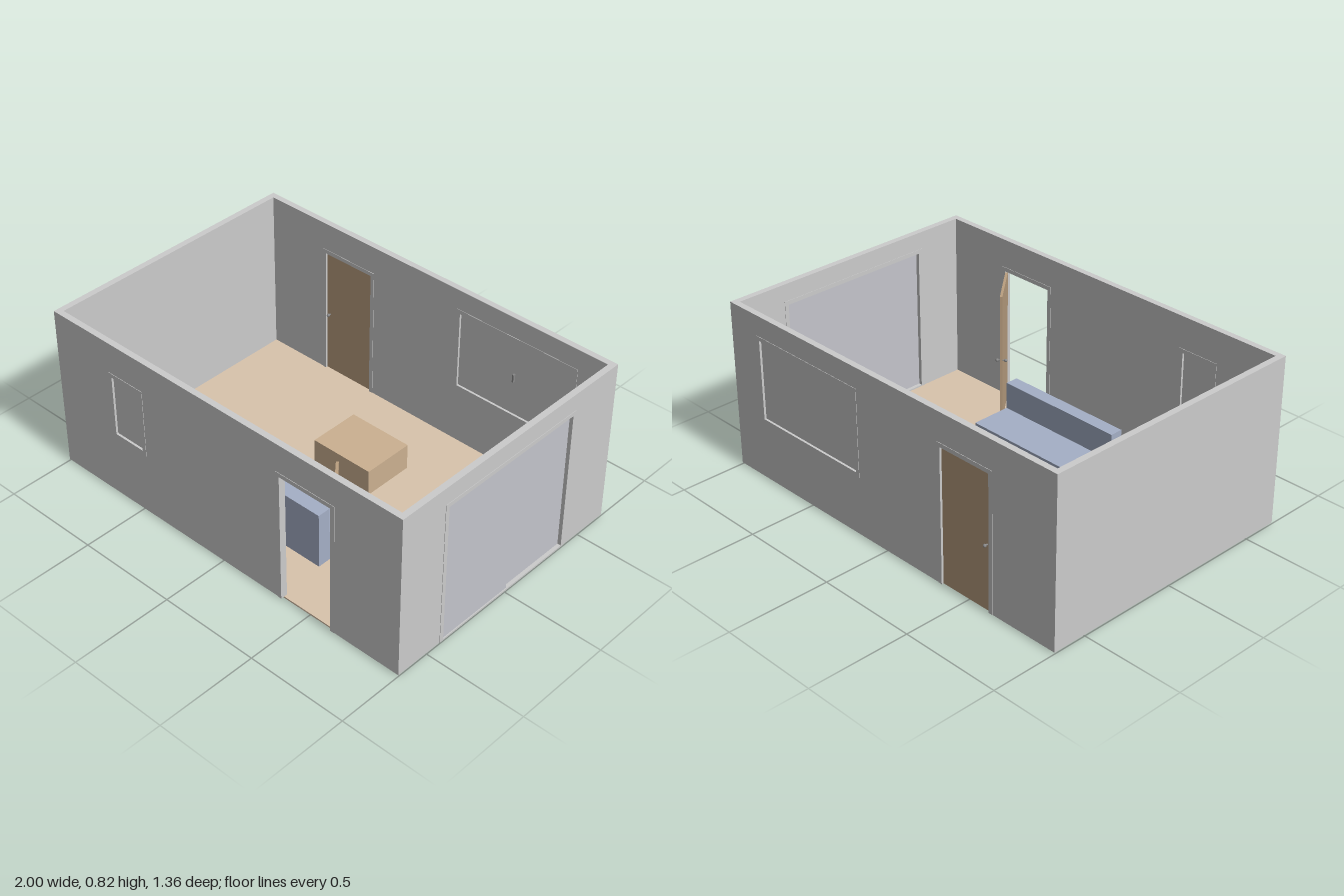
import * as THREE from 'three';

const W = 1, D = 0.672, H = 0.825, T = 0.03, BASE = 0.007;

const material = (color) => new THREE.MeshStandardMaterial({ color });
const grey = material(0xcccccc);
const floorTan = material(0xd9c4ac);
const wood = material(0xba9f80);
const tableWood = material(0xccb191);
const fabric = material(0xa5afc6);
const glass = material(0xc4c5cc);
const metal = material(0x8a8a8a);

function box(name, parent, mat, x0, x1, y0, y1, z0, z1) {
  const mesh = new THREE.Mesh(new THREE.BoxGeometry(x1 - x0, y1 - y0, z1 - z0), mat);
  mesh.position.set((x0 + x1) / 2, (y0 + y1) / 2, (z0 + z1) / 2);
  mesh.name = name;
  parent.add(mesh);
  return mesh;
}

// Upright slab with openings; openings that reach the base become notches
function slab(name, parent, x0, x1, y0, y1, openings, z0, z1) {
  const pts = [[x0, y0]];
  for (const o of openings.filter((o) => o.y0 <= y0)) {
    pts.push([o.x0, y0], [o.x0, o.y1], [o.x1, o.y1], [o.x1, y0]);
  }
  pts.push([x1, y0], [x1, y1], [x0, y1]);
  const shape = new THREE.Shape(pts.map(([x, y]) => new THREE.Vector2(x, y)));
  for (const o of openings.filter((o) => o.y0 > y0)) {
    shape.holes.push(new THREE.Path([
      new THREE.Vector2(o.x0, o.y0), new THREE.Vector2(o.x0, o.y1),
      new THREE.Vector2(o.x1, o.y1), new THREE.Vector2(o.x1, o.y0),
    ]));
  }
  const geo = new THREE.ExtrudeGeometry(shape, { depth: z1 - z0, bevelEnabled: false });
  geo.translate(0, 0, z0);
  const mesh = new THREE.Mesh(geo, grey);
  mesh.name = name;
  parent.add(mesh);
}

// Wall in its own frame, centred on local z = 0, with slim trim round each opening
function wall(name, half, openings) {
  const g = new THREE.Group();
  g.name = name;
  slab(name + 'Panel', g, -half, half, BASE, H, openings, -T / 2, T / 2);
  const w = 0.02, p = T / 2 + 0.002;
  for (const o of openings) {
    const bottom = o.y0 <= BASE ? BASE : Math.max(BASE, o.y0 - w);
    slab('openingTrim', g, o.x0 - w, o.x1 + w, bottom, o.y1 + w, [o], -p, p);
  }
  return g;
}

// Door leaf from x = 0 (hinge) to x = width, with a knob on both faces
function door(name, width, height) {
  const g = new THREE.Group();
  g.name = name;
  box('doorLeaf', g, wood, 0, width, BASE, height, -0.006, 0.006);
  for (const side of [-1, 1]) {
    const stem = new THREE.Mesh(new THREE.CylinderGeometry(0.004, 0.004, 0.014, 10), metal);
    stem.rotation.x = Math.PI / 2;
    stem.position.set(width - 0.018, 0.325, side * 0.011);
    stem.name = 'knobStem';
    const knob = new THREE.Mesh(new THREE.SphereGeometry(0.008, 12, 8), metal);
    knob.position.set(width - 0.018, 0.325, side * 0.02);
    knob.name = 'knob';
    g.add(stem, knob);
  }
  return g;
}

export function createModel() {
  const model = new THREE.Group();
  model.name = 'room';

  box('floor', model, floorTan, -W + T / 2, W - T / 2, 0, BASE + 0.001, -D + T / 2, D - T / 2);

  // Front wall: doorway and small window
  const frontDoorway = { x0: 0.35, x1: 0.63, y0: BASE, y1: 0.665 };
  const smallWindow = { x0: -0.645, x1: -0.475, y0: 0.345, y1: 0.65 };
  const front = wall('frontWall', W, [frontDoorway, smallWindow]);
  front.position.z = D - T / 2;
  model.add(front);

  // Back wall: closed door and wide window
  const backDoorway = { x0: -0.63, x1: -0.35, y0: BASE, y1: 0.665 };
  const wideWindow = { x0: 0.18, x1: 0.805, y0: 0.315, y1: 0.705 };
  const back = wall('backWall', W, [backDoorway, wideWindow]);
  back.position.z = -D + T / 2;
  model.add(back);

  // Window panes
  for (const [parent, o] of [[front, smallWindow], [back, wideWindow]]) {
    box('windowPane', parent, grey, o.x0, o.x1, o.y0, o.y1, -0.006, 0.006);
  }
  box('windowHandle', back, metal, 0.488, 0.496, 0.49, 0.53, 0.005, 0.018);

  // Side walls; the one on +x holds the sliding glass door (local x runs along -z)
  const slider = { x0: -0.4, x1: 0.38, y0: 0.015, y1: 0.72 };
  const left = wall('glassDoorWall', D - T, [slider]);
  const right = wall('plainWall', D - T, []);
  left.position.x = W - T / 2;
  right.position.x = -W + T / 2;
  for (const side of [left, right]) {
    side.rotation.y = Math.PI / 2;
    model.add(side);
  }
  box('outerGlassPane', left, glass, slider.x0, 0.012, slider.y0, slider.y1, 0.001, 0.012);
  box('innerGlassPane', left, glass, -0.01, slider.x1, slider.y0, slider.y1, -0.012, -0.001);

  // Closed back door, hinged on its +x edge
  const backDoor = door('backDoor', 0.28, 0.663);
  backDoor.position.set(-0.35, 0, -D + T / 2);
  backDoor.rotation.y = Math.PI;
  model.add(backDoor);

  // Front door standing open into the room
  const frontDoor = door('openFrontDoor', 0.262, 0.663);
  frontDoor.position.set(0.62, 0, 0.64);
  frontDoor.rotation.y = Math.atan2(0.2, -0.17);
  model.add(frontDoor);

  // Sofa facing the low table
  const sofa = new THREE.Group();
  sofa.name = 'sofa';
  box('sofaSeat', sofa, fabric, -0.33, 0.33, BASE, 0.16, 0.16, 0.36);
  box('sofaBack', sofa, fabric, -0.33, 0.33, BASE, 0.292, 0.36, 0.424);
  model.add(sofa);

  box('table', model, tableWood, -0.165, 0.165, BASE, 0.14, -0.33, -0.07);

  return model;
}
